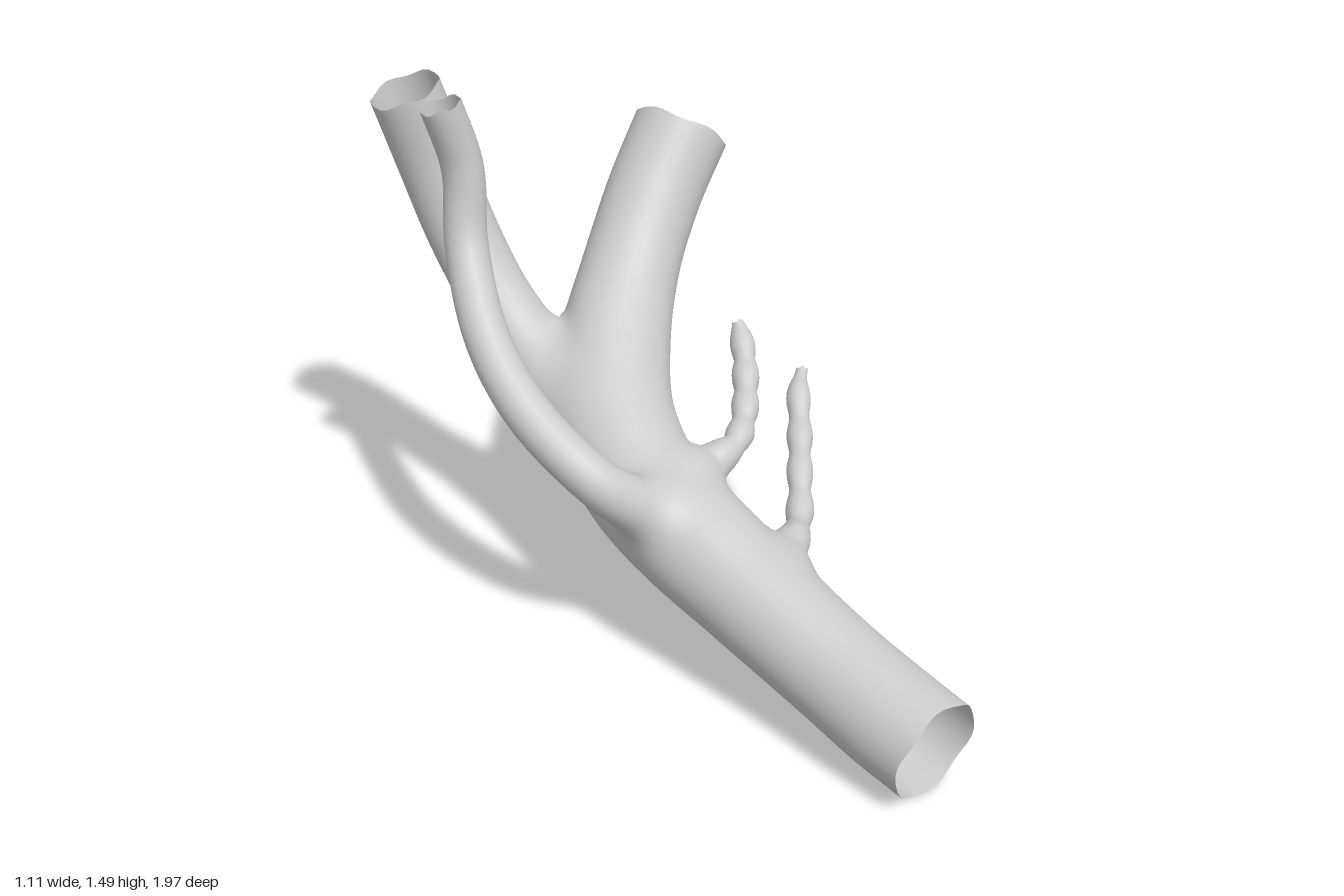
import * as THREE from 'three';

// Each vessel: control points [x, y, z, radius] from root to open end
const VESSELS = {
  mainTrunk: { sides: 36, rings: 90, bump: 0, pts: [
    [-0.165, 0.142, 0.955, 0.138], [-0.167, 0.168, 0.8, 0.141], [-0.17, 0.215, 0.6, 0.141],
    [-0.185, 0.31, 0.3, 0.152], [-0.2, 0.385, 0.1, 0.162], [-0.19, 0.455, -0.1, 0.165],
    [-0.12, 0.56, -0.3, 0.17], [0.01, 0.69, -0.445, 0.16], [0.17, 0.865, -0.55, 0.142],
    [0.31, 1.035, -0.605, 0.14], [0.445, 1.2, -0.63, 0.142]] },
  rearBranch: { sides: 28, rings: 60, bump: 0, pts: [
    [-0.18, 0.5, -0.2, 0.13], [-0.17, 0.595, -0.46, 0.125], [-0.18, 0.68, -0.59, 0.108],
    [-0.205, 0.81, -0.71, 0.1], [-0.235, 1.0, -0.82, 0.101], [-0.272, 1.2, -0.878, 0.102],
    [-0.335, 1.42, -0.9, 0.1]] },
  leftRisingBranch: { sides: 20, rings: 70, bump: 0, pts: [
    [-0.22, 0.43, 0.08, 0.09], [-0.35, 0.52, 0.05, 0.075], [-0.44, 0.61, 0.0, 0.064],
    [-0.495, 0.75, -0.19, 0.062], [-0.488, 0.9, -0.36, 0.06], [-0.43, 1.1, -0.51, 0.058],
    [-0.405, 1.3, -0.54, 0.056], [-0.455, 1.485, -0.548, 0.055]] },
  lowerTwig: { sides: 14, rings: 60, bump: 0.004, pts: [
    [-0.12, 0.33, 0.36, 0.07], [-0.03, 0.36, 0.31, 0.05], [0.04, 0.365, 0.265, 0.038],
    [0.11, 0.375, 0.21, 0.036], [0.2, 0.435, 0.12, 0.034], [0.3, 0.49, 0.02, 0.034],
    [0.37, 0.56, -0.055, 0.03], [0.42, 0.6, -0.09, 0.016]] },
  upperTwig: { sides: 14, rings: 60, bump: 0.004, pts: [
    [-0.14, 0.5, 0.02, 0.07], [-0.05, 0.515, 0.025, 0.05], [0.03, 0.54, 0.03, 0.038],
    [0.11, 0.57, -0.015, 0.036], [0.19, 0.63, -0.09, 0.036], [0.24, 0.685, -0.15, 0.034],
    [0.262, 0.735, -0.19, 0.028], [0.268, 0.765, -0.21, 0.014]] },
};

// Centre line, radius and frame for every ring
function sampleVessel({ pts, rings, bump }) {
  const path = new THREE.CatmullRomCurve3(pts.map(p => new THREE.Vector3(p[0], p[1], p[2])));
  const radii = new THREE.CatmullRomCurve3(pts.map(p => new THREE.Vector3(p[3], 0, 0)), false, 'catmullrom');
  const frames = path.computeFrenetFrames(rings);
  return Array.from({ length: rings + 1 }, (_, i) => {
    const u = i / rings;
    return {
      c: path.getPointAt(u),
      r: radii.getPoint(path.getUtoTmapping(u)).x + bump * Math.sin(u * 38),
      n: frames.normals[i], b: frames.binormals[i], t: frames.tangents[i],
    };
  });
}

// Signed distance from a point to one vessel wall
function distanceTo(rings, p) {
  let best = Infinity;
  for (let i = 0; i < rings.length - 1; i++) {
    const a = rings[i], d = rings[i + 1];
    const ex = d.c.x - a.c.x, ey = d.c.y - a.c.y, ez = d.c.z - a.c.z;
    const px = p.x - a.c.x, py = p.y - a.c.y, pz = p.z - a.c.z;
    let s = (px * ex + py * ey + pz * ez) / (ex * ex + ey * ey + ez * ez);
    s = Math.min(1, Math.max(0, s));
    const x = px - ex * s, y = py - ey * s, z = pz - ez * s;
    best = Math.min(best, Math.sqrt(x * x + y * y + z * z) - (a.r + (d.r - a.r) * s));
  }
  return best;
}

// Smooth union of all vessels: gives filleted junctions
const BLEND = 0.06;
function blended(all, p) {
  return all.map(v => distanceTo(v, p)).reduce((a, b) => {
    const h = Math.max(BLEND - Math.abs(a - b), 0) / BLEND;
    return Math.min(a, b) - h * h * BLEND * 0.25;
  });
}

function gradient(all, p) {
  const e = 0.004, q = new THREE.Vector3(), g = new THREE.Vector3();
  for (const axis of ['x', 'y', 'z']) {
    q.copy(p)[axis] += e;
    const hi = blended(all, q);
    q[axis] -= 2 * e;
    g[axis] = hi - blended(all, q);
  }
  return g.normalize();
}

function vesselGeometry(rings, sides, all, isTrunk) {
  const others = all.filter(v => v !== rings);
  const pos = [], nor = [], buried = [], index = [];
  const last = rings.length - 1;
  rings.forEach((ring, i) => {
    for (let j = 0; j <= sides; j++) {
      const a = (j % sides) / sides * Math.PI * 2;
      const out = ring.n.clone().multiplyScalar(Math.cos(a)).addScaledVector(ring.b, Math.sin(a));
      const p = ring.c.clone().addScaledVector(out, ring.r);
      // Ragged rim on the open ends
      const rag = 0.01 * (1 + Math.sin(a * 3 + 1) * Math.cos(a * 2));
      if (i === last) p.addScaledVector(ring.t, -rag);
      if (i === 0 && isTrunk) p.addScaledVector(ring.t, rag);
      const hidden = others.some(v => distanceTo(v, p) < -0.025);
      buried.push(hidden);
      // Settle the wall onto the blended surface
      let g = out;
      for (let k = 0; k < 3; k++) {
        g = gradient(all, p);
        p.addScaledVector(g, -THREE.MathUtils.clamp(blended(all, p), -0.06, 0.06));
      }
      g = gradient(all, p);
      if (i === last || (i === 0 && isTrunk)) g = out;
      pos.push(p.x, p.y, p.z);
      nor.push(g.x, g.y, g.z);
    }
  });
  // Skip the walls inside other vessels so the bore stays hollow
  const face = (a, b, c) => {
    if (!(buried[a] && buried[b] && buried[c])) index.push(a, b, c);
  };
  for (let i = 0; i < last; i++) {
    for (let j = 0; j < sides; j++) {
      const a = i * (sides + 1) + j, b = a + sides + 1;
      face(a, a + 1, b);
      face(a + 1, b + 1, b);
    }
  }
  const geo = new THREE.BufferGeometry();
  geo.setAttribute('position', new THREE.Float32BufferAttribute(pos, 3));
  geo.setAttribute('normal', new THREE.Float32BufferAttribute(nor, 3));
  geo.setIndex(index);
  return geo;
}

export function createModel() {
  const group = new THREE.Group();
  group.name = 'branchingVessel';
  const material = new THREE.MeshStandardMaterial({ color: 0xcccccc, side: THREE.DoubleSide });
  const names = Object.keys(VESSELS);
  const all = names.map(name => sampleVessel(VESSELS[name]));
  names.forEach((name, i) => {
    const geo = vesselGeometry(all[i], VESSELS[name].sides, all, name === 'mainTrunk');
    const mesh = new THREE.Mesh(geo, material);
    mesh.name = name;
    group.add(mesh);
  });
  return group;
}
